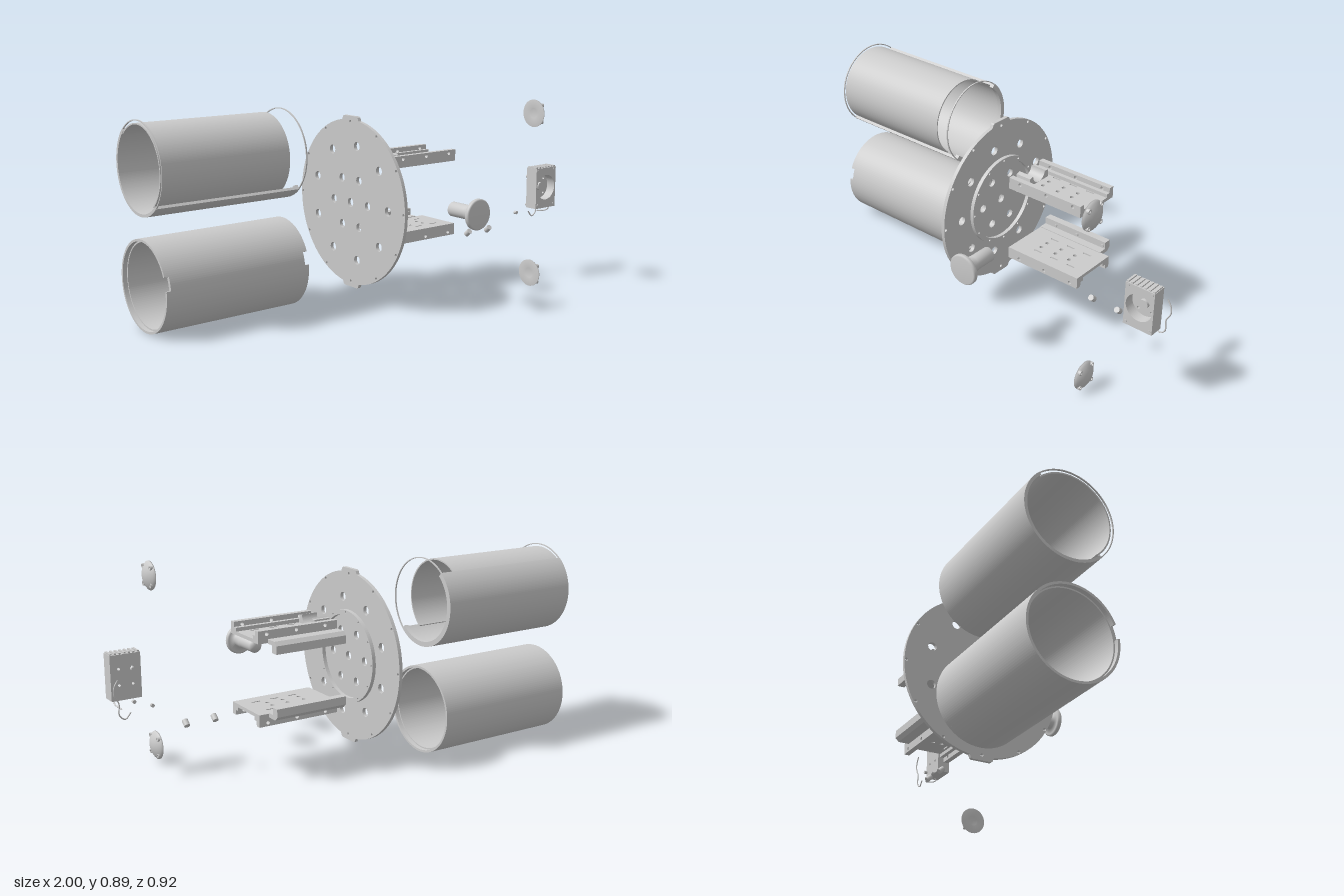
import * as THREE from 'three';

const MID_Y = 0.455, MID_U = 0.085; // plate axis; u stands for -z
const rad = THREE.MathUtils.degToRad;
const mat = new THREE.MeshStandardMaterial({ color: 0xcccccc, side: THREE.DoubleSide });

function add(parent, name, geo, x = 0, y = 0, z = 0) {
  const m = new THREE.Mesh(geo, mat);
  m.name = name;
  m.position.set(x, y, z);
  parent.add(m);
  return m;
}
const box = (w, h, d) => new THREE.BoxGeometry(w, h, d);
const extrude = (shape, depth, seg = 24) =>
  new THREE.ExtrudeGeometry(shape, { depth, bevelEnabled: false, curveSegments: seg });
// shape drawn in (-z, y), extruded along x
const alongX = (shape, x0, x1, seg) => extrude(shape, x1 - x0, seg).rotateY(Math.PI / 2).translate(x0, 0, 0);
const poly = pts => new THREE.Shape(pts.map(p => new THREE.Vector2(...p)));
const rect = (x0, y0, x1, y1) => poly([[x0, y0], [x1, y0], [x1, y1], [x0, y1]]);

function hole(shape, x, y, r) {
  shape.holes.push(new THREE.Path().absarc(x, y, r, 0, Math.PI * 2, true));
}
function ringShape(rIn, rOut) {
  const s = new THREE.Shape().absarc(0, 0, rOut, 0, Math.PI * 2, false);
  hole(s, 0, 0, rIn);
  return s;
}
function sectorShape(rIn, rOut, a0, a1) {
  const s = new THREE.Shape();
  s.absarc(0, 0, rOut, rad(a0), rad(a1), false);
  s.absarc(0, 0, rIn, rad(a1), rad(a0), true);
  s.closePath();
  return s;
}
function boltCircle(shape, n, radius, r) {
  for (let i = 0; i < n; i++) {
    const a = i / n * Math.PI * 2 + Math.PI;
    hole(shape, Math.cos(a) * radius, Math.sin(a) * radius, r);
  }
}

function mountingPlate() {
  const g = new THREE.Group();
  g.name = 'mountingPlate';
  g.position.set(0, MID_Y, -MID_U);
  // round disc with a tab at top and bottom
  const disc = new THREE.Shape();
  disc.absarc(0, 0, 0.375, rad(-81), rad(81), false);
  disc.lineTo(0.052, 0.385); disc.lineTo(0.045, 0.39);
  disc.lineTo(-0.045, 0.39); disc.lineTo(-0.052, 0.385);
  disc.absarc(0, 0, 0.375, rad(99), rad(261), false);
  disc.lineTo(-0.052, -0.385); disc.lineTo(-0.045, -0.39);
  disc.lineTo(0.045, -0.39); disc.lineTo(0.052, -0.385);
  hole(disc, 0, 0, 0.02);
  boltCircle(disc, 6, 0.122, 0.019);
  boltCircle(disc, 9, 0.262, 0.02);
  boltCircle(disc, 12, 0.365, 0.007);
  add(g, 'disc', alongX(disc, -0.045, -0.029, 40));
  const ring = ringShape(0.186, 0.207);
  boltCircle(ring, 12, 0.197, 0.005);
  add(g, 'raisedRing', alongX(ring, -0.029, -0.012, 64));
  return g;
}

function lowerTube() {
  const g = new THREE.Group();
  g.name = 'lowerTube';
  g.position.set(0, 0.2, -0.237);
  add(g, 'wall', alongX(ringShape(0.182, 0.198), -0.98, -0.33, 72));
  // stepped lips, notched at the front
  for (const x of [-1, -0.33])
    add(g, 'notchedLip', alongX(sectorShape(0.188, 0.198, 174, 517), x, x + 0.02, 72));
  return g;
}

function upperTube() {
  const g = new THREE.Group();
  g.name = 'upperTube';
  g.position.set(0, 0.69, -0.237);
  add(g, 'outerShell', alongX(sectorShape(0.185, 0.198, 227, 409), -1, -0.31, 48));
  add(g, 'curvedDoor', alongX(sectorShape(0.177, 0.183, 45, 231), -1, -0.39, 48));
  // thin hoops bridging the open side
  for (const x of [-1, -0.316])
    add(g, 'endHoop', alongX(sectorShape(0.193, 0.197, 49, 227), x, x + 0.006, 48));
  add(g, 'innerRim', alongX(sectorShape(0.176, 0.187, 227, 409), -0.33, -0.31, 48));
  return g;
}

// channel bracket, drawn relative to the plate axis and opening outward
function bracket(name, flip) {
  const g = new THREE.Group();
  g.name = name;
  g.position.y = MID_Y;
  g.scale.y = flip;
  const floor = rect(0.11, -0.025, 0.49, 0.205);
  for (const x of [0.22, 0.3, 0.375]) for (const u of [0.07, 0.112]) hole(floor, x, u, 0.009);
  for (const x of [0.21, 0.3, 0.39]) for (const u of [0.03, 0.15])
    floor.holes.push(rect(x, u, x + 0.04, u + 0.008));
  add(g, 'floor', extrude(floor, 0.015, 12).rotateX(-Math.PI / 2), 0, 0.15, 0);
  // side rails with cross holes
  for (const z of [0, -0.205]) {
    const rail = rect(0.11, 0.15, 0.49, 0.203);
    for (const x of [0.17, 0.31, 0.45]) hole(rail, x, 0.188, 0.008);
    add(g, 'rail', extrude(rail, 0.025, 12), 0, 0, z);
  }
  for (const z of [-0.008, -0.172]) add(g, 'railFoot', box(0.38, 0.018, 0.022), 0.3, 0.172, z);
  // end block with a rounded saddle
  const saddle = new THREE.Shape();
  saddle.moveTo(0.02, 0.16); saddle.lineTo(0.15, 0.16); saddle.lineTo(0.145, 0.2);
  saddle.lineTo(0.13, 0.2);
  saddle.absarc(0.085, 0.205, 0.04, 0, -Math.PI, true);
  saddle.lineTo(0.025, 0.2);
  add(g, 'saddle', alongX(saddle, 0.11, 0.185, 20));
  // stepped strip along the back
  const strip = poly([[0.2, 0.147], [0.238, 0.147], [0.238, 0.115], [0.272, 0.115],
    [0.272, 0.15], [0.256, 0.166], [0.2, 0.166]]);
  add(g, 'backStrip', alongX(strip, 0.11, 0.445));
  for (const x of [0.17, 0.29, 0.43])
    add(g, 'stripBolt', new THREE.CylinderGeometry(0.008, 0.008, 0.006, 12).rotateX(Math.PI / 2), x, 0.135, -0.236);
  return g;
}

function domeCap(name, y) {
  const g = new THREE.Group();
  g.name = name;
  g.position.set(0.73, y, 0.288);
  const pts = [[0, 0.004], [0.025, 0.004], [0.025, 0], [0.063, 0], [0.063, 0.005], [0.055, 0.012],
    [0.042, 0.02], [0.025, 0.026], [0.012, 0.0285], [0, 0.029]].map(p => new THREE.Vector2(...p));
  add(g, 'dome', new THREE.LatheGeometry(pts, 40).rotateZ(-Math.PI / 2));
  for (let i = 0; i < 4; i++) {
    const a = rad(45 + 90 * i);
    add(g, 'screwSocket', alongX(ringShape(0.006, 0.01), 0.005, 0.018, 16),
      0, Math.sin(a) * 0.053, Math.cos(a) * 0.053);
  }
  return g;
}

function fanBox() {
  const g = new THREE.Group();
  g.name = 'fanBox';
  g.position.set(0.917, 0.455, 0);
  const frame = rect(-0.067, -0.1, 0.067, 0.095);
  hole(frame, 0, 0, 0.06);
  add(g, 'frame', extrude(frame, 0.045, 40), 0, 0, 0.165);
  const back = rect(-0.067, -0.1, 0.067, 0.095);
  for (const x of [-0.03, 0.03]) for (const y of [-0.035, 0.035]) hole(back, x, y, 0.006);
  add(g, 'backPanel', extrude(back, 0.018, 12), 0, 0, 0.147);
  add(g, 'hub', new THREE.CylinderGeometry(0.02, 0.02, 0.015, 24).rotateX(Math.PI / 2), 0, 0, 0.172);
  for (const x of [-1, 1]) for (const y of [-1, 1])
    add(g, 'cornerScrew', new THREE.CylinderGeometry(0.006, 0.006, 0.004, 12).rotateX(Math.PI / 2),
      x * 0.055, y * 0.085, 0.211);
  for (let i = 0; i < 7; i++) add(g, 'ventRib', box(0.009, 0.006, 0.055), -0.06 + i * 0.02, 0.098, 0.179);
  return g;
}

function wire(name, pts, r) {
  const curve = new THREE.CatmullRomCurve3(pts.map(p => new THREE.Vector3(...p)));
  return [name, new THREE.TubeGeometry(curve, 32, r, 8)];
}

export function createModel() {
  const model = new THREE.Group();
  model.name = 'explodedAssembly';
  model.add(mountingPlate(), lowerTube(), upperTube());
  model.add(bracket('upperBracket', 1), bracket('lowerBracket', -1));
  model.add(domeCap('upperDomeCap', 0.833), domeCap('lowerDomeCap', 0.077), fanBox());

  // flanged plug pointing to the front
  const plug = [[0, 0.295], [0.032, 0.295], [0.032, 0.39], [0.034, 0.392], [0.034, 0.435], [0.06, 0.437],
    [0.068, 0.441], [0.068, 0.454], [0.062, 0.46], [0, 0.46]].map(p => new THREE.Vector2(...p));
  add(model, 'flangedPlug', new THREE.LatheGeometry(plug, 40).rotateX(Math.PI / 2), 0.227, 0.452, 0);

  // tilted pegs and small buttons
  for (const x of [0.577, 0.71])
    add(model, 'peg', new THREE.CylinderGeometry(0.013, 0.013, 0.03, 16), x, 0.247, 0.03).rotation.x = rad(50);
  for (const [x, y] of [[0.825, 0.325], [0.905, 0.355], [0.905, 0.495]])
    add(model, 'button', new THREE.CylinderGeometry(0.008, 0.008, 0.014, 12).rotateX(Math.PI / 2), x, y, 0.104);

  // cables
  add(model, ...wire('hookCable', [[0.975, 0.46, 0.094], [0.992, 0.43, 0.094], [0.994, 0.4, 0.094],
    [0.975, 0.36, 0.094], [0.975, 0.31, 0.094], [0.95, 0.29, 0.094], [0.925, 0.315, 0.094]], 0.003));
  add(model, ...wire('fanCable', [[0.96, 0.356, 0.185], [0.96, 0.345, 0.19], [0.96, 0.333, 0.175],
    [0.955, 0.326, 0.15], [0.95, 0.323, 0.128]], 0.003));
  return model;
}
